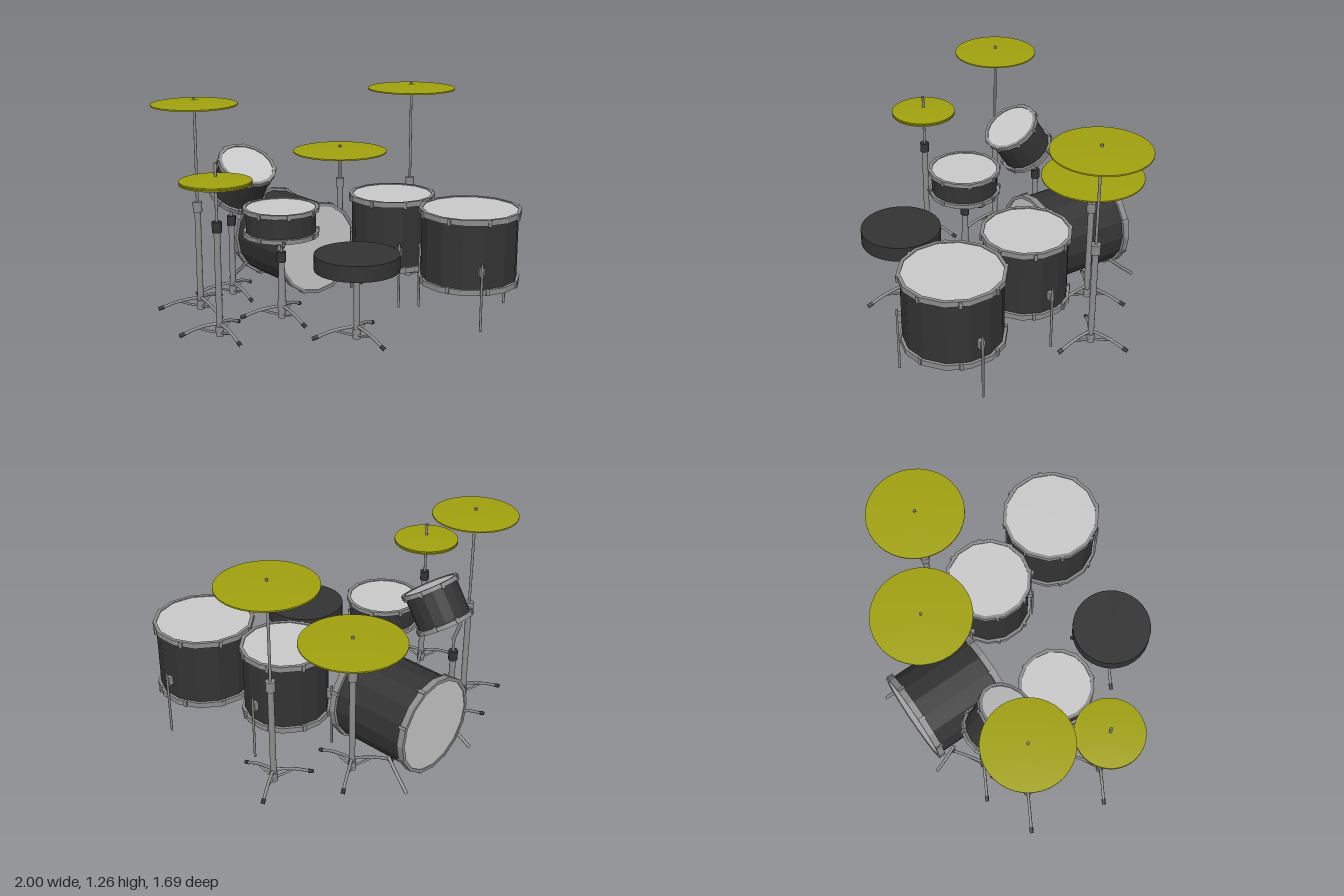
import * as THREE from 'three';
import { toCreasedNormals } from 'three/addons/utils/BufferGeometryUtils.js';

const mat = (name, color) => {
  const m = new THREE.MeshStandardMaterial({ color });
  m.name = name;
  return m;
};

export function createModel() {
  const black = mat('black', 0x333333);
  const chrome = mat('chrome', 0x8c8c8c);
  const skin = mat('skin', 0xc8c8c8);
  const brass = mat('brass', 0xa0a00f);
  const kit = new THREE.Group();
  kit.name = 'drumKit';

  const add = (parent, name, geo, material, x = 0, y = 0, z = 0) => {
    const m = new THREE.Mesh(geo, material);
    m.name = name;
    m.position.set(x, y, z);
    parent.add(m);
    return m;
  };
  const group = (name, x, y, z) => {
    const g = new THREE.Group();
    g.name = name;
    g.position.set(x, y, z);
    kit.add(g);
    return g;
  };
  // Upright cylinder running from y0 to y1
  const post = (parent, name, r, y0, y1, material = chrome, rBottom = r) =>
    add(parent, name, new THREE.CylinderGeometry(r, rBottom, y1 - y0, 12), material, 0, (y0 + y1) / 2, 0);
  // Bent rod through a few points
  const rod = (parent, name, pts, r, material = chrome) =>
    add(parent, name, new THREE.TubeGeometry(
      new THREE.CatmullRomCurve3(pts.map(p => new THREE.Vector3(...p))), (pts.length - 1) * 4, r, 7), material);

  // Drum centred on its own axis: shell, two skins, two hoops with tension lugs
  const drum = (name, r, height, x, y, z, sides, hoopH = 0.032) => {
    const g = group(name, x, y, z);
    const shellR = r - 0.017;
    add(g, 'shell', toCreasedNormals(new THREE.CylinderGeometry(shellR, shellR, height - 0.03, sides, 1, true), 0.3), black);
    for (const s of [1, -1]) {
      const head = add(g, 'skin', new THREE.CircleGeometry(r - 0.01, sides), skin, 0, s * (height / 2 - 0.005), 0);
      head.rotation.set(-s * Math.PI / 2, 0, s > 0 ? -Math.PI / 2 : Math.PI / 2);
      const a = -hoopH / 2, b = hoopH / 2, inner = r - 0.02;
      const profile = [[r, a], [r, b], [inner, b], [inner, a], [r, a]].map(p => new THREE.Vector2(...p));
      const hy = s * (height - hoopH) / 2;
      add(g, 'hoop', toCreasedNormals(new THREE.LatheGeometry(profile, sides), 0.3), chrome, 0, hy, 0);
      for (let i = 0; i < 8; i++) {
        const t = (i + 0.5) / 8 * Math.PI * 2;
        const lug = add(g, 'lug', new THREE.BoxGeometry(0.018, hoopH + 0.006, 0.018), chrome,
          Math.sin(t) * (r - 0.005), hy - s * 0.004, Math.cos(t) * (r - 0.005));
        lug.rotation.y = t;
      }
    }
    return g;
  };

  // Tripod stand: feet reach, collar top height, top of the thin rod
  const stand = (name, x, z, reach, collarY, rodTop, collarMat = chrome) => {
    const g = group(name, x, 0, z);
    post(g, 'tube', 0.018, 0.005, collarY - 0.05);
    post(g, 'tripodSleeve', 0.023, 0.005, 0.06);
    post(g, 'collar', 0.027, collarY - 0.06, collarY, collarMat);
    if (rodTop > collarY) post(g, 'rod', 0.008, collarY - 0.01, rodTop);
    for (let i = 0; i < 3; i++) {
      const leg = new THREE.Group();
      leg.name = 'tripodLeg';
      leg.rotation.y = i * Math.PI * 2 / 3;
      g.add(leg);
      rod(leg, 'legBar', [[0, 0.075, 0.015], [0, 0.063, 0.09], [0, 0.045, reach * 0.65], [0, 0.02, reach * 0.9]], 0.009);
      rod(leg, 'legBrace', [[0, 0.025, 0.015], [0, 0.035, 0.06], [0, 0.055, 0.12]], 0.007);
      rod(leg, 'foot', [[0, 0.024, reach * 0.86], [0, 0.012, reach]], 0.012, black);
    }
    return g;
  };

  // Shallow cone with a thin rim; dir -1 turns it upside down
  const cymbal = (name, r, x, y, z, dir = 1) => {
    const pts = [[0, 0], [r, 0], [r, 0.008], [0, 0.03]].map(p => new THREE.Vector2(...p));
    const c = add(kit, name, toCreasedNormals(new THREE.LatheGeometry(pts, 36), 0.25), brass, x, y, z);
    if (dir < 0) c.rotation.x = Math.PI;
  };

  // Floor toms on three straight legs
  for (const [name, r, x, z] of [['largeFloorTom', 0.292, 0.515, 0.545], ['smallFloorTom', 0.257, 0.393, 0]]) {
    const g = drum(name, r, 0.43, x, 0.43, z, 14);
    for (let i = 0; i < 3; i++) {
      const t = Math.PI / 2 + i * Math.PI * 2 / 3;
      const lx = Math.sin(t) * (r + 0.006), lz = Math.cos(t) * (r + 0.006);
      add(g, 'leg', new THREE.CylinderGeometry(0.007, 0.007, 0.39, 8), chrome, lx, -0.225, lz);
      const clamp = add(g, 'legClamp', new THREE.BoxGeometry(0.03, 0.05, 0.03), chrome,
        Math.sin(t) * (r - 0.01), -0.08, Math.cos(t) * (r - 0.01));
      clamp.rotation.y = t;
    }
  }

  // Bass drum lying along z, with two spurs at the rear
  const bass = drum('bassDrum', 0.285, 0.53, 0.045, 0.293, -0.537, 16, 0.038);
  bass.rotation.x = Math.PI / 2;
  for (const s of [1, -1])
    rod(kit, 'bassSpur', [[0.045 + s * 0.25, 0.16, -0.68], [0.045 + s * 0.268, 0.08, -0.765], [0.045 + s * 0.285, 0.012, -0.845]], 0.01);

  // Snare on a basket stand
  drum('snareDrum', 0.217, 0.165, -0.37, 0.583, -0.062, 16, 0.024);
  const basket = stand('snareStand', -0.37, -0.062, 0.24, 0.4, 0.46, black);
  post(basket, 'lowerTube', 0.018, 0.06, 0.3, chrome, 0.026);
  for (let i = 0; i < 3; i++) {
    const t = Math.PI / 2 + i * Math.PI * 2 / 3, sx = Math.sin(t), sz = Math.cos(t);
    rod(basket, 'basketArm', [[0, 0.44, 0], [sx * 0.1, 0.455, sz * 0.1], [sx * 0.2, 0.49, sz * 0.2], [sx * 0.227, 0.525, sz * 0.227]], 0.008);
  }

  // Tilted rack tom, its stand and curved holder
  const tom = drum('rackTom', 0.174, 0.245, -0.375, 0.75, -0.46, 16, 0.026);
  tom.rotation.x = 0.567;
  stand('rackTomStand', -0.375, -0.59, 0.225, 0.5, 0.575, black);
  rod(kit, 'tomHolder', [[-0.375, 0.73, -0.58], [-0.375, 0.7, -0.625], [-0.375, 0.64, -0.61], [-0.375, 0.57, -0.585]], 0.011);

  // Stool
  const stool = stand('stool', -0.23, 0.455, 0.245, 0.4, 0.4);
  add(stool, 'seat', new THREE.CylinderGeometry(0.233, 0.233, 0.088, 32), black, 0, 0.444, 0);

  // Cymbals and their stands
  for (const [name, r, x, z, y] of [
    ['crashCymbal', 0.245, -0.67, -0.473, 1.215],
    ['tallRideCymbal', 0.27, 0.728, -0.225, 1.215],
    ['lowRideCymbal', 0.293, 0.36, -0.473, 0.823]]) {
    cymbal(name, r, x, y, z);
    stand(name + 'Stand', x, z, x > 0.5 ? 0.225 : 0.245, 0.655, y + 0.042);
  }
  cymbal('hiHatTop', 0.195, -0.805, 0.873, -0.03);
  cymbal('hiHatBottom', 0.195, -0.805, 0.87, -0.03, -1);
  stand('hiHatStand', -0.805, -0.03, 0.22, 0.655, 0.975, black);

  return kit;
}
